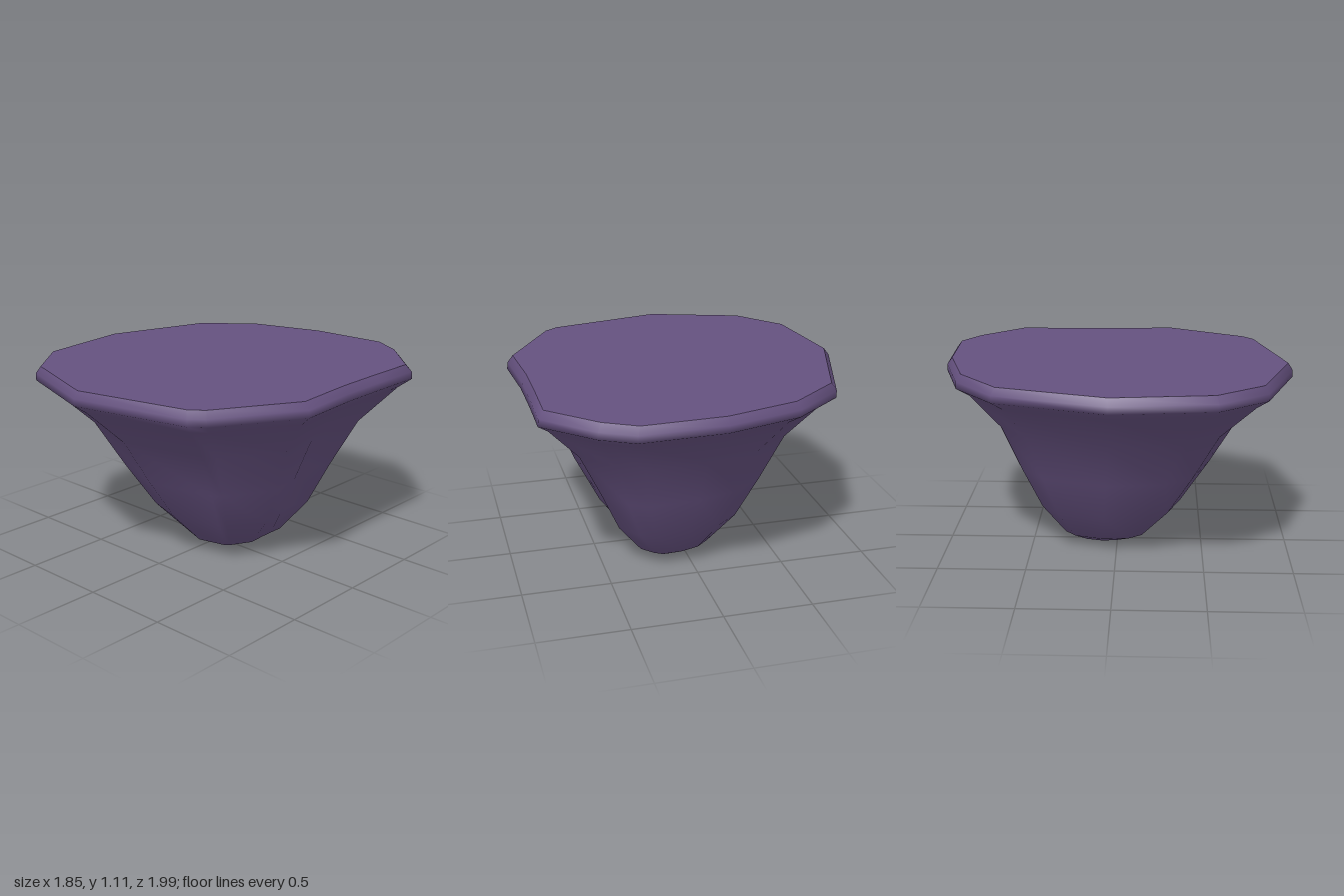
import * as THREE from 'three';

// Rim outline seen from above, as x, z pairs
const OUTLINE = [
  [-0.02, -0.98], [0.45, -1], [0.63, -0.9], [0.885, -0.65], [0.885, -0.35], [0.89, -0.05],
  [0.92, 0.32], [0.65, 0.78], [0.57, 0.84], [-0.1, 0.99], [-0.64, 0.81],
  [-0.86, 0.54], [-0.93, -0.02], [-0.73, -0.63], [-0.44, -0.86],
];
const HOLLOW = { 3: 0.35, 4: 1, 5: 0.35 }; // outline points pulled into the side hollow

// Cross-sections from top to bottom: y, minX, maxX, minZ, maxZ, hollow depth
const RINGS = [
  [1.11, -0.9, 0.885, -0.97, 0.965, 0],
  [1.07, -0.93, 0.915, -1, 0.99, 0],
  [1.03, -0.93, 0.92, -1, 0.99, 0],
  [0.98, -0.855, 0.86, -0.92, 0.92, 0],
  [0.77, -0.645, 0.69, -0.74, 0.7, 0.06],
  [0.5, -0.5, 0.575, -0.62, 0.54, 0.17],
  [0.25, -0.355, 0.445, -0.495, 0.375, 0.12],
  [0.06, -0.175, 0.28, -0.345, 0.195, 0],
  [0, -0.05, 0.16, -0.235, 0.055, 0],
];
const N = OUTLINE.length;

// Fit the outline into the bounds of one cross-section
function ringPoints([y, x0, x1, z0, z1, depth]) {
  const cx = (x0 + x1) / 2, cz = (z0 + z1) / 2;
  return OUTLINE.map(([x, z], i) => {
    const s = 1 - depth * (HOLLOW[i] || 0);
    const px = x0 + ((x + 0.93) / 1.85) * (x1 - x0);
    const pz = z0 + ((z + 1) / 1.99) * (z1 - z0);
    return [cx + (px - cx) * s, y, cz + (pz - cz) * s];
  });
}

function makeGeometry(points, index) {
  const geometry = new THREE.BufferGeometry();
  geometry.setAttribute('position', new THREE.Float32BufferAttribute(points.flat(), 3));
  geometry.setIndex(index);
  geometry.computeVertexNormals();
  return geometry;
}

export function createModel() {
  const group = new THREE.Group();
  group.name = 'floatingRock';
  const stone = new THREE.MeshStandardMaterial({ color: 0x65517f });
  stone.name = 'purple stone';

  // Tapering underside with its rounded rim and small foot
  const points = RINGS.flatMap(ringPoints);
  const index = [];
  for (let r = 0; r < RINGS.length - 1; r++) {
    for (let i = 0; i < N; i++) {
      const j = (i + 1) % N;
      const a = r * N + i, b = r * N + j, c = a + N, d = b + N;
      index.push(a, b, c, b, d, c);
    }
  }
  const last = (RINGS.length - 1) * N;
  points.push([0.055, 0, -0.09]);
  for (let i = 0; i < N; i++) index.push(points.length - 1, last + i, last + ((i + 1) % N));
  const body = new THREE.Mesh(makeGeometry(points, index), stone);
  body.name = 'rockBody';

  // Flat top, kept separate for a sharp edge
  const topPoints = [...ringPoints(RINGS[0]), [0, RINGS[0][0], 0]];
  const topIndex = [];
  for (let i = 0; i < N; i++) topIndex.push(N, (i + 1) % N, i);
  const top = new THREE.Mesh(makeGeometry(topPoints, topIndex), stone);
  top.name = 'flatTop';

  group.add(body, top);
  return group;
}
